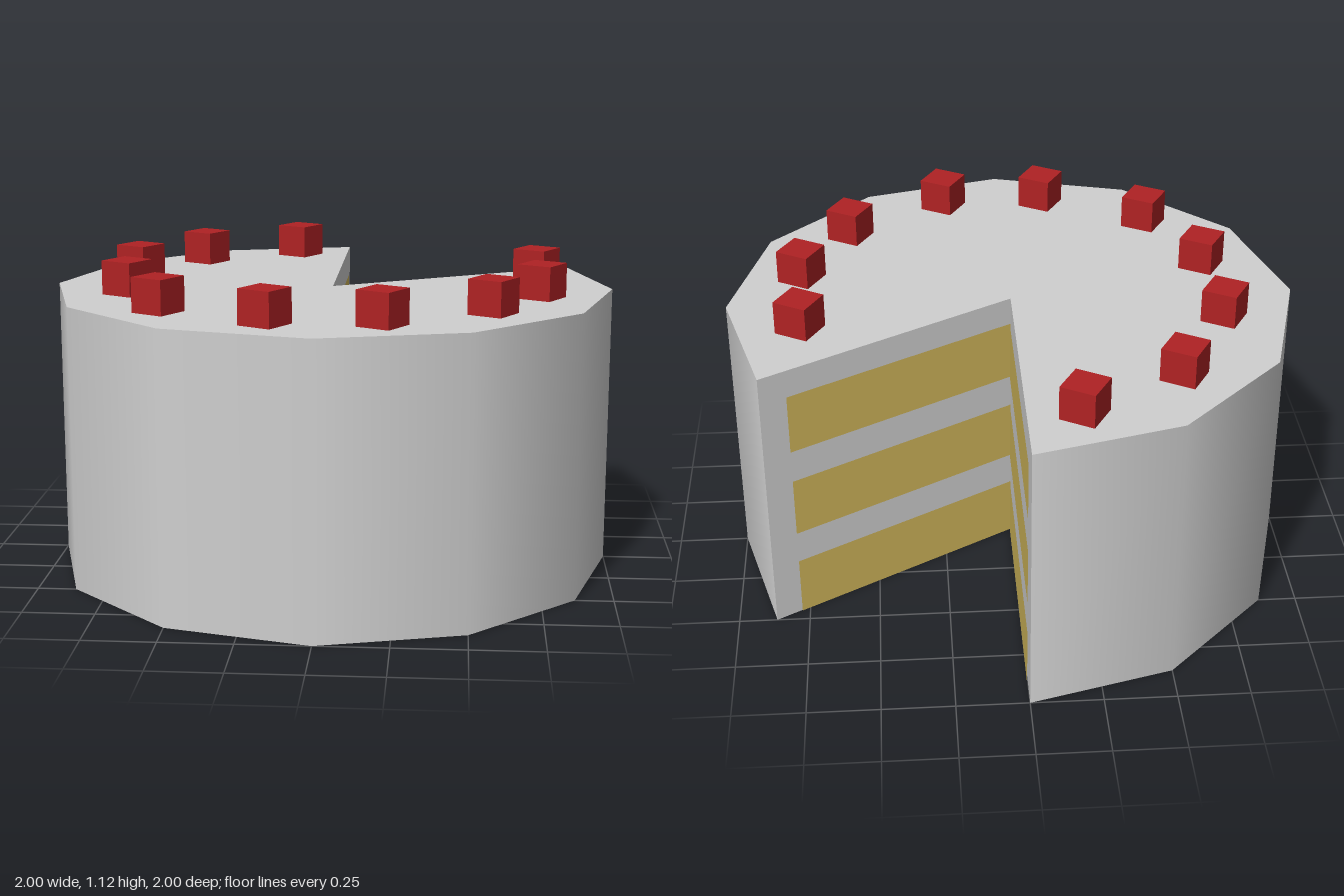
import * as THREE from 'three';

export function createModel() {
  const cake = new THREE.Group();
  cake.name = 'cake';

  const icing = new THREE.MeshStandardMaterial({ color: 0xd0d0d0 });
  icing.name = 'icing';
  const sponge = new THREE.MeshStandardMaterial({ color: 0xd0b65a });
  sponge.name = 'sponge';
  const cherryRed = new THREE.MeshStandardMaterial({ color: 0xb02224 });
  cherryRed.name = 'cherryRed';

  const add = (parent, name, geometry, material) => {
    const mesh = new THREE.Mesh(geometry, material);
    mesh.name = name;
    parent.add(mesh);
    return mesh;
  };

  // Twelve-sided cake with two of its segments cut away at the back left
  const body = new THREE.CylinderGeometry(1, 1, 1, 10, 1, false, Math.PI, Math.PI * 5 / 3);
  add(cake, 'cakeBody', body.translate(0, 0.5, 0), icing);

  // Cut face: an icing wall with three sponge layers; dir is the way it runs from the centre
  const addCut = (name, angle, dir) => {
    const cut = new THREE.Group();
    cut.name = name;
    cut.rotation.y = angle;
    add(cut, 'cutWall', new THREE.PlaneGeometry(1, 1).translate(dir * 0.5, 0.5, 0), icing);
    for (let i = 0; i < 3; i++) {
      const layer = new THREE.PlaneGeometry(0.9, 0.22);
      add(cut, 'spongeLayer', layer.translate(dir * 0.45, 0.11 + i * 0.34, 0.003), sponge);
    }
    cake.add(cut);
  };
  addCut('rightCut', Math.PI / 2, 1);
  addCut('leftCut', Math.PI * 7 / 6, -1);

  // Ring of cube cherries, all turned the same way
  const cherry = new THREE.BoxGeometry(0.125, 0.12, 0.125);
  const spots = [
    [-0.185, -0.78], [-0.535, -0.567], [-0.73, -0.182], [-0.71, 0.214], [-0.543, 0.57],
    [-0.166, 0.773], [0.211, 0.767], [0.567, 0.53], [0.74, 0.203], [0.735, -0.171],
  ];
  for (const [x, z] of spots) {
    const mesh = add(cake, 'cherry', cherry, cherryRed);
    mesh.position.set(x, 1.06, z);
    mesh.rotation.y = -Math.PI / 6;
  }
  return cake;
}
